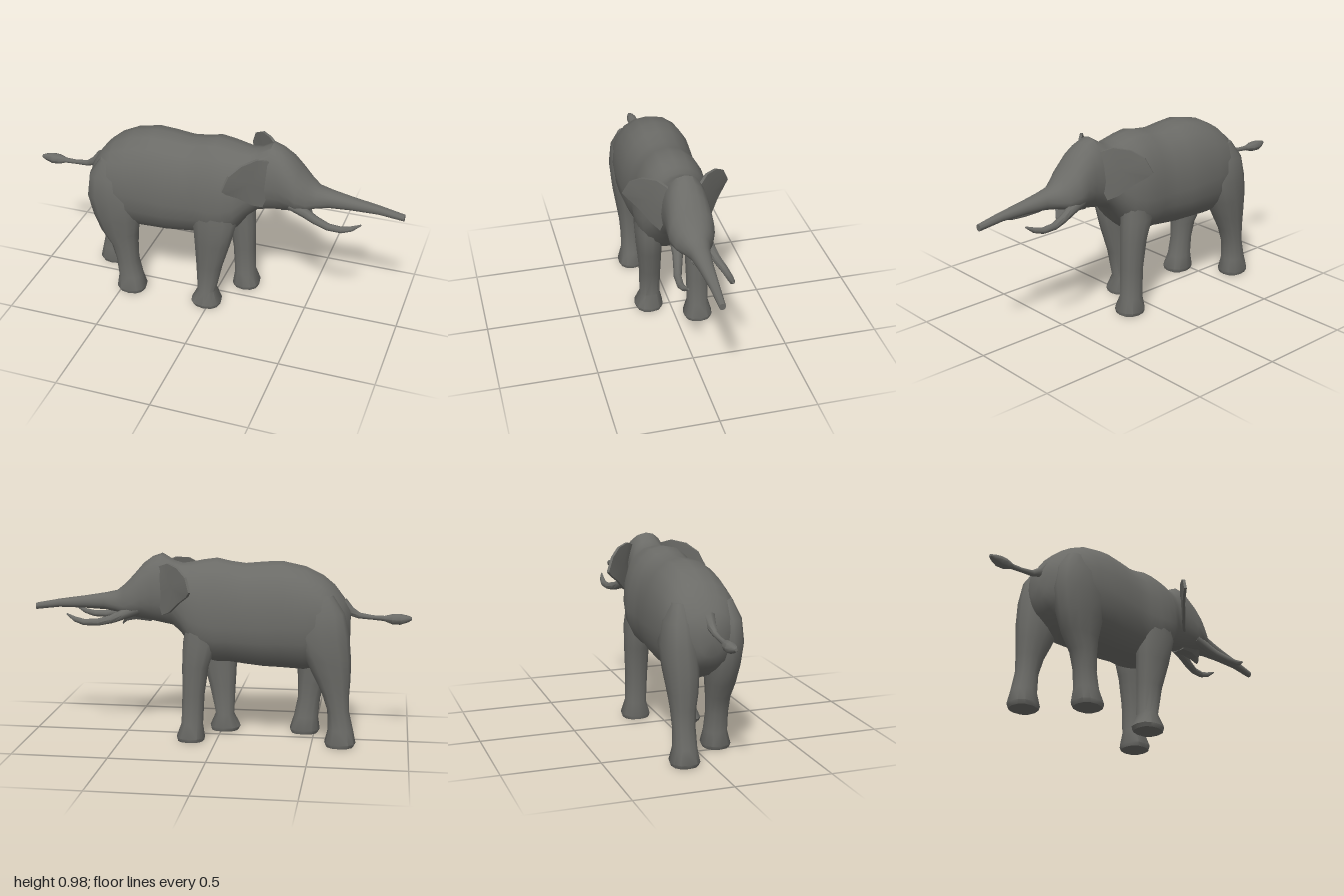
import * as THREE from 'three';
import { toCreasedNormals } from 'three/addons/utils/BufferGeometryUtils.js';

const V = (x, y, z) => new THREE.Vector3(x, y, z);
const hide = new THREE.MeshStandardMaterial({ color: 0x6b6b67 });
hide.name = 'grey hide';

// Closed skin over a list of rings, with fans at both ends; always wound outward
function loft(name, rings, crease = 0.8, capA, capB) {
  const n = rings[0].length;
  const mean = (r) => r.reduce((s, p) => s.add(p), V(0, 0, 0)).divideScalar(n);
  const pts = [...rings.flat(), capA || mean(rings[0]), capB || mean(rings[rings.length - 1])];
  const a = pts.length - 2, b = pts.length - 1, last = (rings.length - 1) * n;
  const idx = [];
  for (let j = 0; j < n; j++) {
    const k = (j + 1) % n;
    for (let i = 0; i < rings.length - 1; i++) {
      const p = i * n;
      idx.push(p + j, p + k, p + n + j, p + k, p + n + k, p + n + j);
    }
    idx.push(a, k, j, b, last + j, last + k);
  }
  let volume = 0;
  for (let i = 0; i < idx.length; i += 3) {
    volume += pts[idx[i]].dot(V(0, 0, 0).crossVectors(pts[idx[i + 1]], pts[idx[i + 2]]));
  }
  if (volume < 0) idx.reverse();
  const geo = new THREE.BufferGeometry().setFromPoints(pts);
  geo.setIndex(idx);
  const mesh = new THREE.Mesh(toCreasedNormals(geo, crease), hide);
  mesh.name = name;
  return mesh;
}

const around = (n, f) => Array.from({ length: n }, (_, i) => f(i / n * Math.PI * 2));
const pow = (v, e) => Math.sign(v) * Math.abs(v) ** e;

// Egg-shaped sections along x: [x, top, bottom, half width, height of widest point]
const lengthwise = (name, rows, n = 20, square = 0.9) => loft(name, rows.map(([x, top, bot, w, mid]) =>
  around(n, (t) => {
    const s = pow(Math.sin(t), square);
    return V(x, mid + s * (s > 0 ? top - mid : mid - bot), w * pow(Math.cos(t), square));
  })));

// Oval sections up a leg: [y, back x, front x, inner z, outer z]
const leg = (name, side, rows) => loft(name, rows.map(([y, x0, x1, z0, z1]) =>
  around(12, (t) => V((x0 + x1) / 2 + (x1 - x0) / 2 * pow(Math.cos(t), 0.85), y,
    side * ((z0 + z1) / 2 + (z1 - z0) / 2 * pow(Math.sin(t), 0.85))))));

// Round sections along a curve: [x, y, z, radius]
function taper(name, rows, n = 8) {
  const curve = new THREE.CatmullRomCurve3(rows.map(([x, y, z]) => V(x, y, z)));
  return loft(name, rows.map(([x, y, z, r], i) => {
    const d = curve.getTangent(i / (rows.length - 1));
    const side = V(0, 0, 1).cross(d).normalize();
    const out = d.clone().cross(side);
    return around(n, (t) => V(x, y, z).addScaledVector(side, r * Math.cos(t)).addScaledVector(out, r * Math.sin(t)));
  }));
}

export function createModel() {
  const model = new THREE.Group();
  model.name = 'elephant';

  // Torso, head and outstretched trunk
  model.add(lengthwise('bodyHeadAndTrunk', [
    [-0.685, 0.70, 0.54, 0.06, 0.62],
    [-0.65, 0.76, 0.48, 0.13, 0.63],
    [-0.60, 0.825, 0.44, 0.175, 0.64],
    [-0.54, 0.875, 0.40, 0.195, 0.64],
    [-0.45, 0.92, 0.38, 0.203, 0.63],
    [-0.33, 0.945, 0.387, 0.208, 0.63],
    [-0.24, 0.94, 0.39, 0.203, 0.62],
    [-0.14, 0.93, 0.40, 0.193, 0.62],
    [-0.06, 0.94, 0.41, 0.188, 0.62],
    [0.01, 0.955, 0.41, 0.198, 0.62],
    [0.08, 0.945, 0.425, 0.192, 0.63],
    [0.14, 0.932, 0.48, 0.18, 0.65],
    [0.19, 0.924, 0.555, 0.155, 0.69],
    [0.24, 0.938, 0.595, 0.122, 0.74],
    [0.30, 0.975, 0.605, 0.115, 0.77],
    [0.35, 0.957, 0.615, 0.115, 0.77],
    [0.40, 0.92, 0.625, 0.116, 0.75],
    [0.45, 0.862, 0.635, 0.116, 0.72],
    [0.50, 0.808, 0.645, 0.095, 0.70],
    [0.545, 0.772, 0.658, 0.068, 0.70],
    [0.61, 0.757, 0.667, 0.05, 0.71],
    [0.72, 0.738, 0.672, 0.036, 0.705],
    [0.86, 0.717, 0.673, 0.024, 0.695],
    [0.99, 0.692, 0.657, 0.016, 0.675],
  ]));

  // Pointed lower jaw
  model.add(loft('lowerJaw', [
    [0.36, 0.67, 0.615, 0.07], [0.44, 0.66, 0.622, 0.06], [0.49, 0.648, 0.612, 0.045], [0.518, 0.60, 0.588, 0.01],
  ].map(([x, top, bot, w]) => [V(x, top, w), V(x, bot, w * 0.5), V(x, bot, -w * 0.5), V(x, top, -w)]), 0.4));

  // Striding legs
  model.add(leg('leftForeleg', -1, [
    [0, 0.065, 0.205, 0.05, 0.19], [0.02, 0.06, 0.21, 0.042, 0.198], [0.09, 0.07, 0.185, 0.065, 0.178],
    [0.25, 0.062, 0.18, 0.06, 0.177], [0.40, 0.04, 0.18, 0.055, 0.184],
    [0.52, 0.0, 0.175, 0.05, 0.19], [0.68, 0.03, 0.15, 0.06, 0.17],
  ]));
  model.add(leg('rightForeleg', 1, [
    [0, -0.09, 0.06, 0.045, 0.185], [0.02, -0.1, 0.065, 0.038, 0.193], [0.09, -0.065, 0.035, 0.055, 0.165],
    [0.25, -0.073, 0.07, 0.055, 0.168], [0.40, -0.08, 0.115, 0.055, 0.184],
    [0.54, -0.09, 0.15, 0.05, 0.195], [0.70, -0.06, 0.12, 0.06, 0.175],
  ]));
  // Hind legs share one shape: shank, knee and broad thigh
  model.add(leg('rightHindleg', 1, [
    [0, -0.52, -0.375, 0.05, 0.185], [0.02, -0.53, -0.368, 0.042, 0.192], [0.09, -0.52, -0.39, 0.055, 0.172],
    [0.19, -0.53, -0.41, 0.06, 0.17], [0.28, -0.555, -0.41, 0.055, 0.175], [0.36, -0.61, -0.405, 0.045, 0.185],
    [0.46, -0.65, -0.385, 0.035, 0.2], [0.58, -0.677, -0.38, 0.035, 0.209], [0.70, -0.66, -0.42, 0.05, 0.195],
    [0.79, -0.60, -0.48, 0.07, 0.155],
  ]));
  model.add(leg('leftHindleg', -1, [
    [0, -0.72, -0.575, 0.055, 0.19], [0.02, -0.73, -0.568, 0.047, 0.197], [0.09, -0.715, -0.585, 0.062, 0.18],
    [0.19, -0.692, -0.58, 0.065, 0.178], [0.28, -0.692, -0.55, 0.06, 0.182], [0.36, -0.697, -0.51, 0.045, 0.19],
    [0.46, -0.697, -0.46, 0.035, 0.202], [0.58, -0.687, -0.41, 0.035, 0.209], [0.70, -0.66, -0.44, 0.05, 0.195],
    [0.79, -0.60, -0.48, 0.07, 0.155],
  ]));

  // Ears flared back from the head, and curved tusks
  const outline = [
    [0.30, 0.915, 0.08], [0.25, 0.937, 0.125], [0.19, 0.925, 0.19], [0.14, 0.885, 0.24], [0.115, 0.812, 0.272],
    [0.13, 0.787, 0.25], [0.18, 0.745, 0.2], [0.235, 0.688, 0.15], [0.28, 0.665, 0.115], [0.31, 0.75, 0.09],
    [0.32, 0.85, 0.08],
  ];
  for (const s of [1, -1]) {
    const label = s > 0 ? 'right' : 'left';
    const edge = (d) => outline.map(([x, y, z]) => V(x + d, y, s * (z + d)));
    model.add(loft(label + 'Ear', [edge(-0.005), edge(0.005)], 0.5,
      V(0.21, 0.82, s * 0.155), V(0.235, 0.82, s * 0.165)));
    model.add(taper(label + 'Tusk', [
      [0.42, 0.685, s * 0.075, 0.03], [0.50, 0.655, s * 0.085, 0.026], [0.56, 0.632, s * 0.1, 0.022],
      [0.63, 0.618, s * 0.118, 0.019], [0.70, 0.618, s * 0.123, 0.017], [0.75, 0.632, s * 0.118, 0.014],
      [0.795, 0.657, s * 0.108, 0.004],
    ]));
  }

  // Tail with a tufted end
  model.add(taper('tail', [
    [-0.64, 0.73, 0, 0.035], [-0.685, 0.69, 0, 0.024], [-0.73, 0.668, 0, 0.016], [-0.80, 0.66, -0.003, 0.012],
    [-0.86, 0.657, -0.006, 0.014], [-0.90, 0.655, -0.008, 0.027], [-0.94, 0.655, -0.008, 0.029],
    [-0.98, 0.658, -0.006, 0.018], [-1.0, 0.66, -0.005, 0.008],
  ]));
  return model;
}
